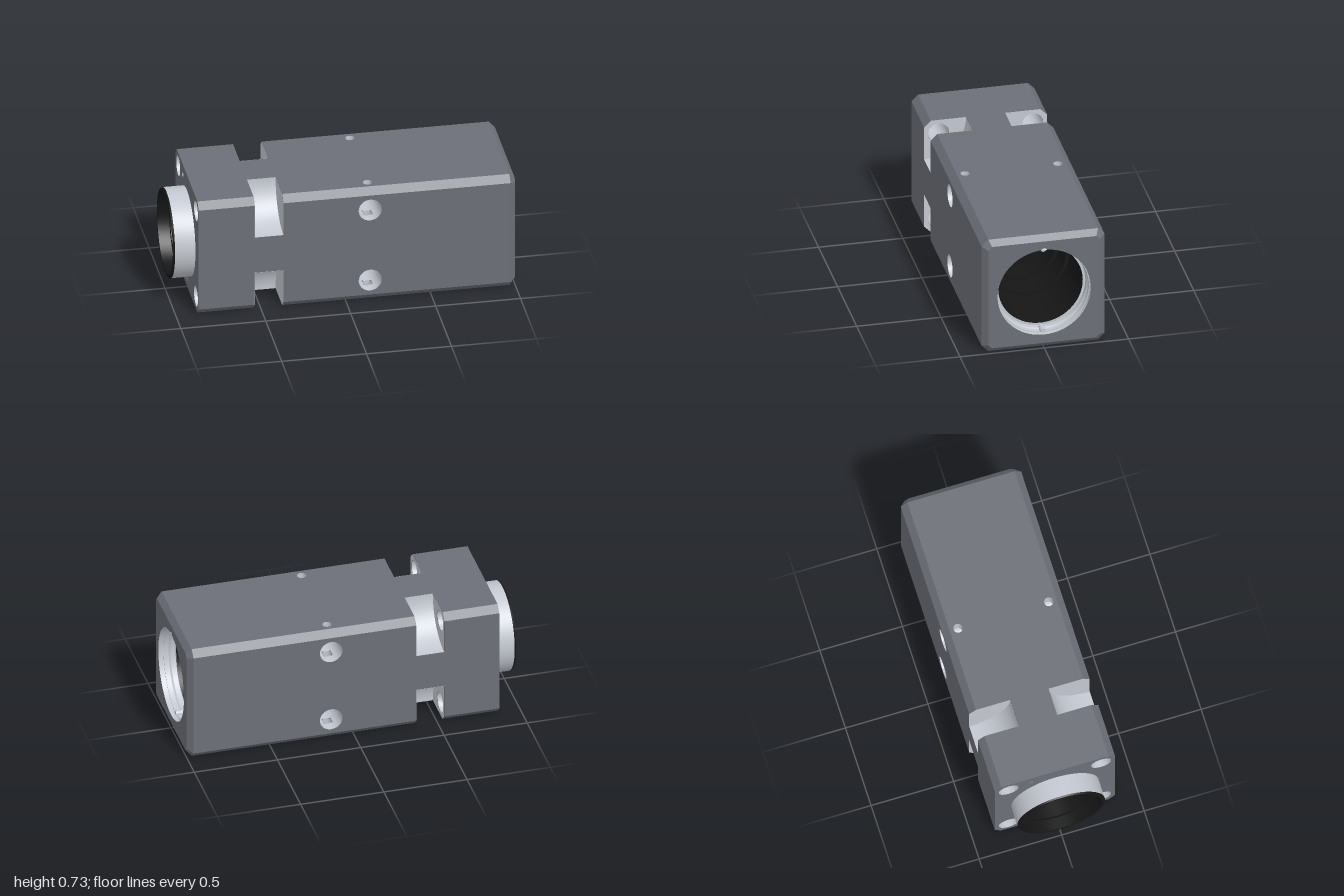
import * as THREE from 'three';
import { toCreasedNormals } from 'three/addons/utils/BufferGeometryUtils.js';

const H = 0.365, C = 0.04;          // half section and long-edge chamfer
const NOTCH = 0.25;                 // radius of the corner cut-outs
const PIN_X = 0.14, PIN_Y = 0.23, PIN_R = 0.068;   // cross holes
const SET_Z = 0.275, SET_R = 0.027;                // small vertical holes
const Q = Math.PI / 2;

const paint = color => new THREE.MeshStandardMaterial({ color, side: THREE.DoubleSide });
const body = paint(0x6c6f77), silver = paint(0xc4c8d0), black = paint(0x161616);

function add(parent, name, geometry, material) {
  const mesh = new THREE.Mesh(geometry, material);
  mesh.name = name;
  parent.add(mesh);
  return mesh;
}

// Square with cut corners, counter-clockwise
function octagon(h, c) {
  const k = h - c;
  return [[h, -k], [h, k], [k, h], [-k, h], [-h, k], [-h, -k], [-k, -h], [k, -h]]
    .map(([x, y]) => new THREE.Vector2(x, y));
}

function hole(shape, x, y, r) {
  shape.holes.push(new THREE.Path().absarc(x, y, r, 0, 2 * Math.PI, true));
  return shape;
}

// Cross-section drawn in (-z, y), pulled along x
function slab(parent, name, shape, x0, x1) {
  const g = new THREE.ExtrudeGeometry(shape, { depth: x1 - x0, bevelEnabled: false, curveSegments: 32 });
  return add(parent, name, toCreasedNormals(g.rotateY(Q).translate(x0, 0, 0), 0.5), body);
}

// Turned part about the x axis from [x, radius] pairs
function turned(parent, name, pairs, material) {
  const g = new THREE.LatheGeometry(pairs.map(([x, r]) => new THREE.Vector2(r, x)), 72);
  return add(parent, name, toCreasedNormals(g.rotateZ(-Q), 0.5), material);
}

function openTube(r, length, start = 0, sweep = 2 * Math.PI) {
  return new THREE.CylinderGeometry(r, r, length, 32, 1, true, start, sweep);
}

function createModel() {
  const model = new THREE.Group();
  const block = new THREE.Group();
  block.name = 'block';
  block.position.y = H;
  model.add(block);

  // Rear flange with four bolt holes and small dowel holes
  const flange = hole(new THREE.Shape(octagon(H, C)), 0, 0, 0.25);
  for (const sx of [-1, 1]) for (const sy of [-1, 1]) hole(flange, sx * 0.28, sy * 0.28, 0.062);
  hole(flange, 0.14, 0.3, 0.022);
  hole(flange, 0, -0.315, 0.013);
  slab(block, 'rearFlange', flange, -0.87, -0.54);

  // Neck with the concave corner cut-outs
  const neck = new THREE.Shape();
  neck.moveTo(H, NOTCH - H);
  [[1, 1], [-1, 1], [-1, -1], [1, -1]].forEach(([sx, sy], k) =>
    neck.absarc(sx * H, sy * H, NOTCH, 3 * Q + k * Q, 2 * Q + k * Q, true));
  slab(block, 'neck', hole(neck, 0, 0, 0.25), -0.54, -0.37);

  // Bright machined faces of each corner cut-out
  for (let k = 0; k < 4; k++) {
    const corner = new THREE.Group();
    corner.name = 'cornerCutout';
    corner.rotation.x = k * Q;
    block.add(corner);
    const sector = () => new THREE.Shape().moveTo(C, 0).lineTo(NOTCH, 0)
      .absarc(0, 0, NOTCH, 0, Q, false).lineTo(0, C);
    const wall = (shape, x) => add(corner, 'cutoutWall',
      new THREE.ShapeGeometry(shape, 32).rotateZ(Math.PI).rotateY(Q).translate(x, H, -H), silver);
    wall(hole(sector(), 0.085, 0.085, 0.062), -0.539);
    wall(sector(), -0.371);
    const arc = [];
    for (let i = 0; i <= 24; i++) {
      const a = Q * i / 24;
      arc.push(new THREE.Vector2(0.249 * Math.cos(a) - H, 0.249 * Math.sin(a) - H));
    }
    // Curved floor swept along x
    const pos = [];
    for (let i = 0; i < 24; i++) {
      const p = arc[i], q = arc[i + 1], x0 = -0.54, x1 = -0.37;
      pos.push(x0, -p.y, p.x, x0, -q.y, q.x, x1, -q.y, q.x, x0, -p.y, p.x, x1, -q.y, q.x, x1, -p.y, p.x);
    }
    const floor = new THREE.BufferGeometry();
    floor.setAttribute('position', new THREE.Float32BufferAttribute(pos, 3));
    floor.computeVertexNormals();
    add(corner, 'cutoutFloor', toCreasedNormals(floor, 0.5), silver);
    add(corner, 'boltHole', openTube(0.061, 0.33).rotateZ(Q).translate(-0.705, 0.28, 0.28), silver);
  }

  // Main body either side of the cross holes
  slab(block, 'bodyRear', hole(new THREE.Shape(octagon(H, C)), 0, 0, 0.25), -0.37, 0.04);
  slab(block, 'bodyFront', hole(new THREE.Shape(octagon(H, C)), 0, 0, 0.295), 0.24, 0.967);

  // Skin of the drilled zone: four panels and four chamfers
  for (let k = 0; k < 4; k++) {
    const w = 0.1, e = H - C;
    const panel = new THREE.Shape([[-w, -e], [w, -e], [w, e], [-w, e]].map(p => new THREE.Vector2(...p)));
    for (const s of [-1, 1]) k % 2 ? hole(panel, 0, s * SET_Z, SET_R) : hole(panel, 0, s * PIN_Y, PIN_R);
    add(block, 'drilledPanel', new THREE.ShapeGeometry(panel, 24)
      .translate(PIN_X, 0, H).rotateX(k * Q), body);
    add(block, 'chamfer', new THREE.PlaneGeometry(2 * w, C * Math.SQRT2)
      .translate(PIN_X, 0, (H - C / 2) * Math.SQRT2).rotateX((k + 0.5) * Q), body);
  }

  // Cross holes, opened top and bottom where the small holes pass
  const z0 = SET_Z - SET_R, z1 = SET_Z + SET_R, gap = 0.41;
  for (const s of [-1, 1]) {
    const bore = (a, b, start, sweep) => add(block, 'crossHole',
      openTube(PIN_R, b - a, start, sweep).rotateX(Q).translate(PIN_X, s * PIN_Y, (a + b) / 2), silver);
    bore(-H, -z1);
    bore(-z0, z0);
    bore(z1, H);
    for (const a of [-z1, z0]) for (const t of [gap, Math.PI + gap])
      bore(a, a + 2 * SET_R, t, Math.PI - 2 * gap);
    const lo = PIN_Y - 0.064, hi = PIN_Y + 0.064;
    for (const [a, b] of [[-H, -hi], [-lo, lo], [hi, H]])
      add(block, 'smallHole', openTube(SET_R, b - a).translate(PIN_X, (a + b) / 2, s * SET_Z), silver);
  }

  // Bevelled front end
  const outer = octagon(H, C), inner = octagon(0.332, 0.022), bevel = [];
  outer.forEach((a, i) => {
    const j = (i + 1) % 8, b = outer[j], c = inner[j], d = inner[i];
    bevel.push(a.x, a.y, 0.967, b.x, b.y, 0.967, c.x, c.y, 1, a.x, a.y, 0.967, c.x, c.y, 1, d.x, d.y, 1);
  });
  const bevelGeo = new THREE.BufferGeometry();
  bevelGeo.setAttribute('position', new THREE.Float32BufferAttribute(bevel, 3));
  bevelGeo.computeVertexNormals();
  add(block, 'frontBevel', bevelGeo.rotateY(Q), body);

  // Front face; its opening has a key slot at top and bottom
  const keyD = 0.27, keyR = 0.018, rim = [];
  for (let i = 0; i < 288; i++) {
    const a = i / 288 * 2 * Math.PI, c = Math.abs(Math.sin(a)), n = Math.cos(a);
    const under = keyR ** 2 - (keyD * n) ** 2;
    const r = Math.max(0.277, under > 0 ? keyD * c + Math.sqrt(under) : 0);
    rim.push(new THREE.Vector2(r * Math.cos(a), r * Math.sin(a)));
  }
  const face = new THREE.Shape(inner);
  face.holes.push(new THREE.Path(rim));
  add(block, 'frontFace', new THREE.ShapeGeometry(face).rotateY(Q).translate(1, 0, 0), body);
  for (const s of [-1, 1])
    add(block, 'keySlot', new THREE.CylinderGeometry(keyR, keyR, 0.06, 24).rotateZ(Q)
      .translate(0.945, s * keyD, 0), silver);

  // Stepped bright seat, rear snout and black inner barrel
  turned(block, 'frontSeat', [[1, 0.277], [0.97, 0.277], [0.97, 0.272], [0.94, 0.272],
    [0.93, 0.266], [0.9, 0.266], [0.9, 0.251]], silver);
  turned(block, 'rearSnout', [[-0.86, 0.265], [-0.99, 0.265]], silver);
  turned(block, 'innerBarrel', [[-0.99, 0.265], [-1, 0.261], [-1, 0.245], [-0.93, 0.245], [-0.93, 0.215],
    [-0.6, 0.215], [-0.6, 0.166], [0.26, 0.166], [0.26, 0.205], [0.4, 0.205], [0.4, 0.23],
    [0.55, 0.23], [0.55, 0.251], [0.9, 0.251]], black);

  return model;
}

export { createModel };
